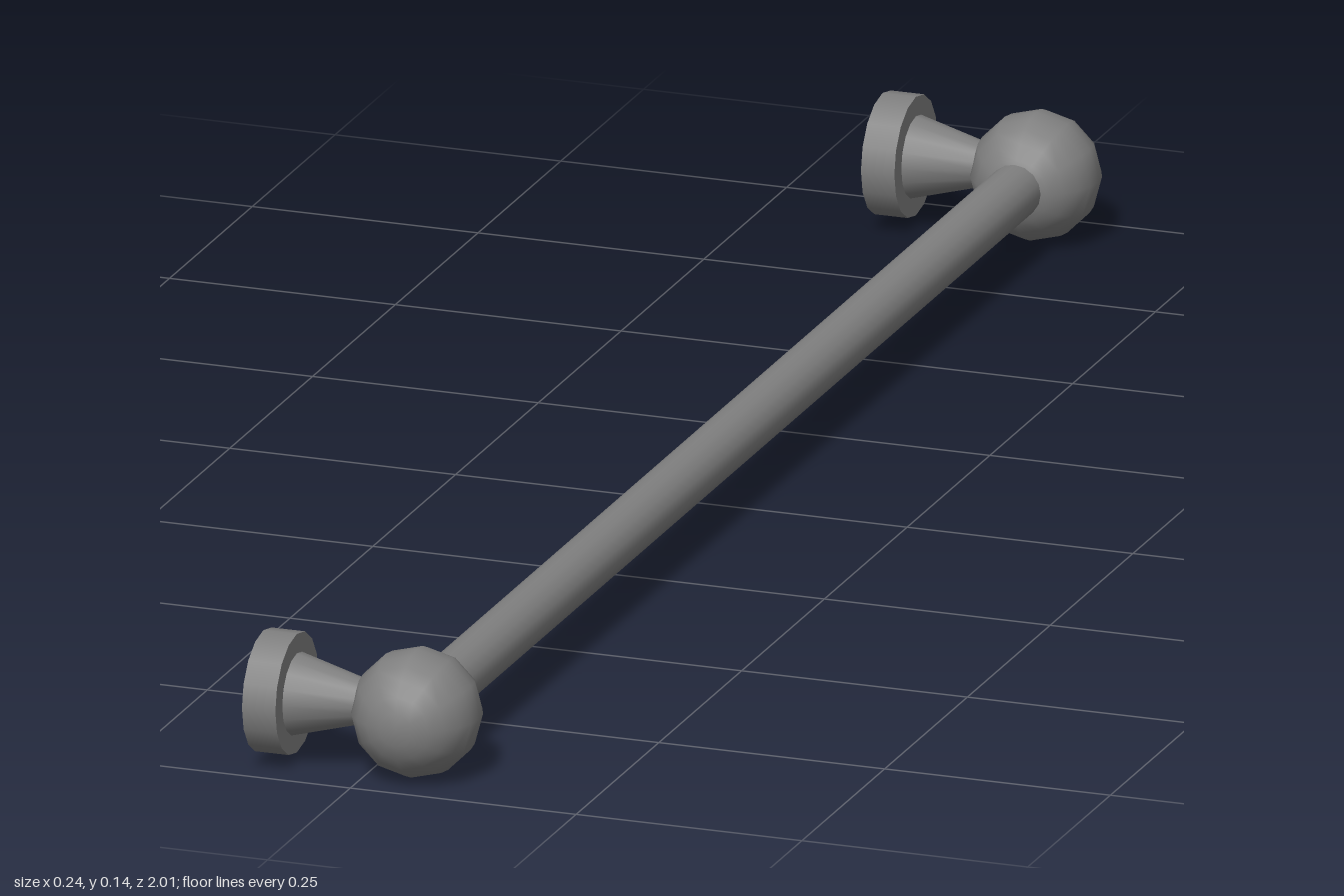
import * as THREE from 'three';

export function createModel() {
  const model = new THREE.Group();
  model.name = 'towelRail';
  const metal = new THREE.MeshStandardMaterial({ color: 0x808080, side: THREE.DoubleSide });
  metal.name = 'grey metal';

  const add = (parent, name, geometry, x, y, z = 0) => {
    const mesh = new THREE.Mesh(geometry, metal);
    mesh.name = name;
    mesh.position.set(x, y, z);
    parent.add(mesh);
  };

  // Open tubes, lying along x or z
  const alongX = (rEnd, rStart, length, sides) =>
    new THREE.CylinderGeometry(rEnd, rStart, length, sides, 1, true).rotateZ(-Math.PI / 2);

  // Straight rail between the two ball joints
  add(model, 'rail', new THREE.CylinderGeometry(0.029, 0.029, 1.8, 16, 1, true).rotateX(Math.PI / 2), 0.049, 0.071);

  // Wall mounts at both ends: hollow flange, tapered neck and ball
  for (const side of [1, -1]) {
    const mount = new THREE.Group();
    mount.name = side > 0 ? 'frontMount' : 'backMount';
    mount.position.z = side * 0.935;
    add(mount, 'flangeRim', alongX(0.065, 0.065, 0.037, 16), -0.1015, 0.075);
    add(mount, 'flangeFace', new THREE.RingGeometry(0.044, 0.065, 16).rotateY(Math.PI / 2), -0.083, 0.075);
    add(mount, 'neck', alongX(0.0215, 0.044, 0.083, 16), -0.0415, 0.0745);
    add(mount, 'ball', new THREE.SphereGeometry(0.069, 12, 12).rotateX(Math.PI / 2), 0.05, 0.07);
    model.add(mount);
  }
  return model;
}
